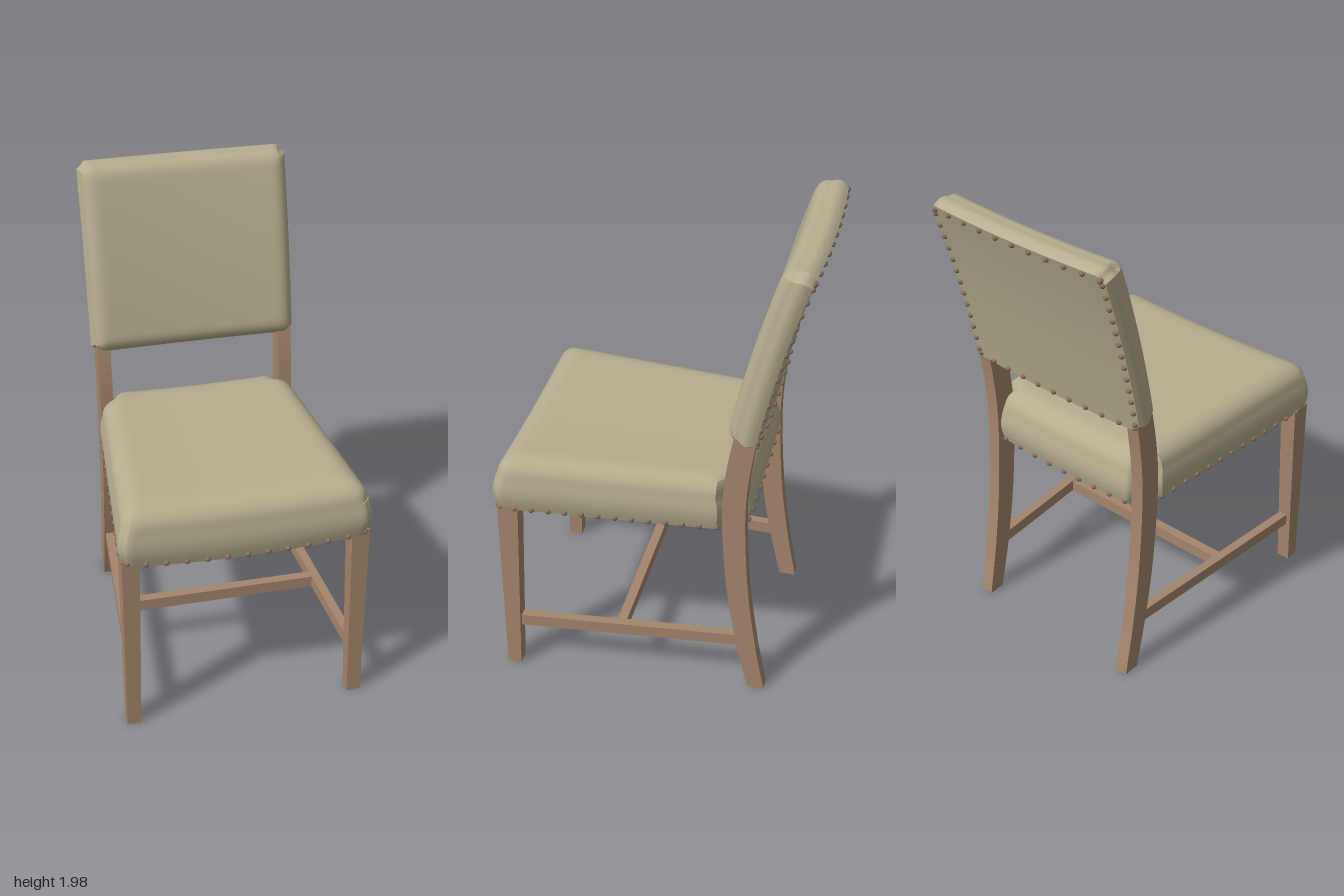
import * as THREE from 'three';
import { mergeVertices, mergeGeometries, toCreasedNormals } from 'three/addons/utils/BufferGeometryUtils.js';

const fabric = new THREE.MeshStandardMaterial({ color: 0xb5ad8f });
fabric.name = 'beige fabric';
const wood = new THREE.MeshStandardMaterial({ color: 0xa4866d });
wood.name = 'light wood';
const nailMetal = new THREE.MeshStandardMaterial({ color: 0x8a7260 });
nailMetal.name = 'brown nail metal';

function add(group, name, geometry, material) {
  const mesh = new THREE.Mesh(geometry, material);
  mesh.name = name;
  group.add(mesh);
  return mesh;
}

// Moves every vertex of a box by a rule, keeping hard edges sharp
function warpBox(box, rule, crease) {
  box.deleteAttribute('normal');
  box.deleteAttribute('uv');
  const geometry = mergeVertices(box);
  const p = geometry.attributes.position;
  for (let i = 0; i < p.count; i++) {
    const v = rule(p.getX(i), p.getY(i), p.getZ(i));
    p.setXYZ(i, v.x, v.y, v.z);
  }
  return toCreasedNormals(geometry, crease);
}

// Padded block: u and w run -1..1 over the plan, t runs 0..1 from base to padded face
function cushionPoint(c, u, t, w) {
  const dx = (1 - Math.abs(u)) * c.halfW;
  const dz = (1 - Math.abs(w)) * c.halfD;
  const e = Math.max(0, 1 - dx / c.roll);
  const f = Math.max(0, 1 - dz / c.roll);
  const k = Math.min(1, Math.pow(e ** 4 + f ** 4, 0.25));
  const height = c.height - c.drop * (1 - Math.sqrt(1 - k * k));
  const bulge = c.bulge * Math.sin(Math.PI * t);
  const corner = 0.018 * Math.max(0, 1 - dx / 0.03) * Math.max(0, 1 - dz / 0.03);
  const x = u * (c.halfW + bulge) - Math.sign(u) * corner;
  const z = w * (c.halfD + bulge) - Math.sign(w) * corner;
  return c.place(x, t * height, z, t);
}

function cushionGeometry(c) {
  const ease = (s) => Math.sin((s * Math.PI) / 2);
  return warpBox(new THREE.BoxGeometry(2, 1, 2, 32, 8, 32),
    (x, y, z) => cushionPoint(c, ease(x), y + 0.5, ease(z)), 0.75);
}

// Seat: tapers to the rear, steps in between the back legs, dips in the middle
const seat = {
  halfW: 0.497, halfD: 0.503, height: 0.235, roll: 0.1, drop: 0.085, bulge: 0.013,
  place(x, y, zLocal, t) {
    const z = zLocal + 0.115;
    const taper = 1 - 0.16 * (0.6 - z) / 0.9;
    const px = x * taper * (z < -0.3 ? 0.88 : 1);
    const middle = 1 - Math.min(1, (px / 0.48) ** 2);
    const rear = 0.015 * Math.max(0, 0.5 - z) * t;
    return new THREE.Vector3(px, 0.812 + y - middle * (0.026 - 0.012 * t) - rear, z);
  },
};

// Back panel: same padding stood upright, leaning and gently curved
const lean = Math.atan2(0.2, 0.76);
const backPanel = {
  halfW: 0.428, halfD: 0.393, height: 0.122, roll: 0.06, drop: 0.05, bulge: 0.011,
  place(x, y, z) {
    const s = z / 0.393;
    const out = y + 0.014 * (1 - s * s) + 0.014 * (x / 0.43) ** 2 - 0.006;
    return new THREE.Vector3(
      x,
      1.58 - z * Math.cos(lean) + out * Math.sin(lean),
      -0.53 + z * Math.sin(lean) + out * Math.cos(lean));
  },
};

// Row of domed nails between two points on a cushion
function nailRow(c, from, to, count) {
  const nails = [];
  for (let i = 0; i < count; i++) {
    const [u, t, w] = from.map((a, j) => a + (to[j] - a) * (i / (count - 1)));
    const p = cushionPoint(c, u, t, w);
    nails.push(new THREE.SphereGeometry(0.0125, 10, 6).translate(p.x, p.y, p.z));
  }
  return mergeGeometries(nails);
}

// Straight square bar between two points
function bar(a, b, width, height) {
  const from = new THREE.Vector3(...a), to = new THREE.Vector3(...b);
  const geometry = new THREE.BoxGeometry(width, height, from.distanceTo(to));
  const matrix = new THREE.Matrix4().lookAt(to, from, new THREE.Vector3(0, 1, 0));
  const mid = from.add(to).multiplyScalar(0.5);
  return geometry.applyMatrix4(matrix.setPosition(mid));
}

export function createModel() {
  const chair = new THREE.Group();
  chair.name = 'diningChair';

  add(chair, 'seatCushion', cushionGeometry(seat), fabric);
  add(chair, 'backCushion', cushionGeometry(backPanel), fabric);

  // Back leg centre line, seen from the side (z, y)
  const legCurve = new THREE.SplineCurve([
    [-0.46, 0], [-0.414, 0.22], [-0.372, 0.5], [-0.35, 0.8], [-0.352, 1.0], [-0.377, 1.2], [-0.403, 1.32],
  ].map((q) => new THREE.Vector2(...q)));

  for (const side of [-1, 1]) {
    const label = side > 0 ? 'left' : 'right';

    add(chair, label + 'BackLeg', warpBox(new THREE.BoxGeometry(1, 1, 1, 1, 24, 1), (x, y, z) => {
      const t = y + 0.5;
      const c = legCurve.getPoint(t);
      const depth = 0.07 + 0.025 * Math.sin(Math.PI * Math.min(1, t * 0.8));
      return new THREE.Vector3(side * 0.393 + x * 0.056, c.y, c.x + z * depth);
    }, 0.5), wood);

    // Front leg tapers on its inner and rear faces
    add(chair, label + 'FrontLeg', warpBox(new THREE.BoxGeometry(1, 1, 1), (x, y, z) => {
      const t = y + 0.5;
      const inner = x * side < 0, rear = z < 0;
      return new THREE.Vector3(
        side * (inner ? 0.441 - 0.014 * t : 0.499),
        t * 0.83,
        rear ? 0.552 - 0.029 * t : 0.61);
    }, 0.5), wood);

    add(chair, label + 'Stretcher',
      bar([side * 0.463, 0.224, 0.57], [side * 0.393, 0.239, -0.39], 0.038, 0.052), wood);

    // Seat side nails and back panel side nails
    add(chair, label + 'SeatNails', nailRow(seat, [side, 0.07, 0.97], [side, 0.07, -0.78], 14), nailMetal);
    add(chair, label + 'BackNails', nailRow(backPanel, [side * 0.965, 0, -0.9], [side * 0.965, 0, 0.9], 13), nailMetal);
  }

  add(chair, 'crossStretcher', bar([-0.425, 0.228, 0.12], [0.425, 0.228, 0.12], 0.04, 0.052), wood);

  add(chair, 'frontSeatNails', nailRow(seat, [-0.97, 0.07, 1], [0.97, 0.07, 1], 13), nailMetal);
  add(chair, 'rearSeatNails', nailRow(seat, [-0.9, 0.07, -1], [0.9, 0.07, -1], 9), nailMetal);
  add(chair, 'topBackNails', nailRow(backPanel, [-0.965, 0, -0.965], [0.965, 0, -0.965], 11), nailMetal);
  add(chair, 'bottomBackNails', nailRow(backPanel, [-0.965, 0, 0.965], [0.965, 0, 0.965], 11), nailMetal);

  return chair;
}
